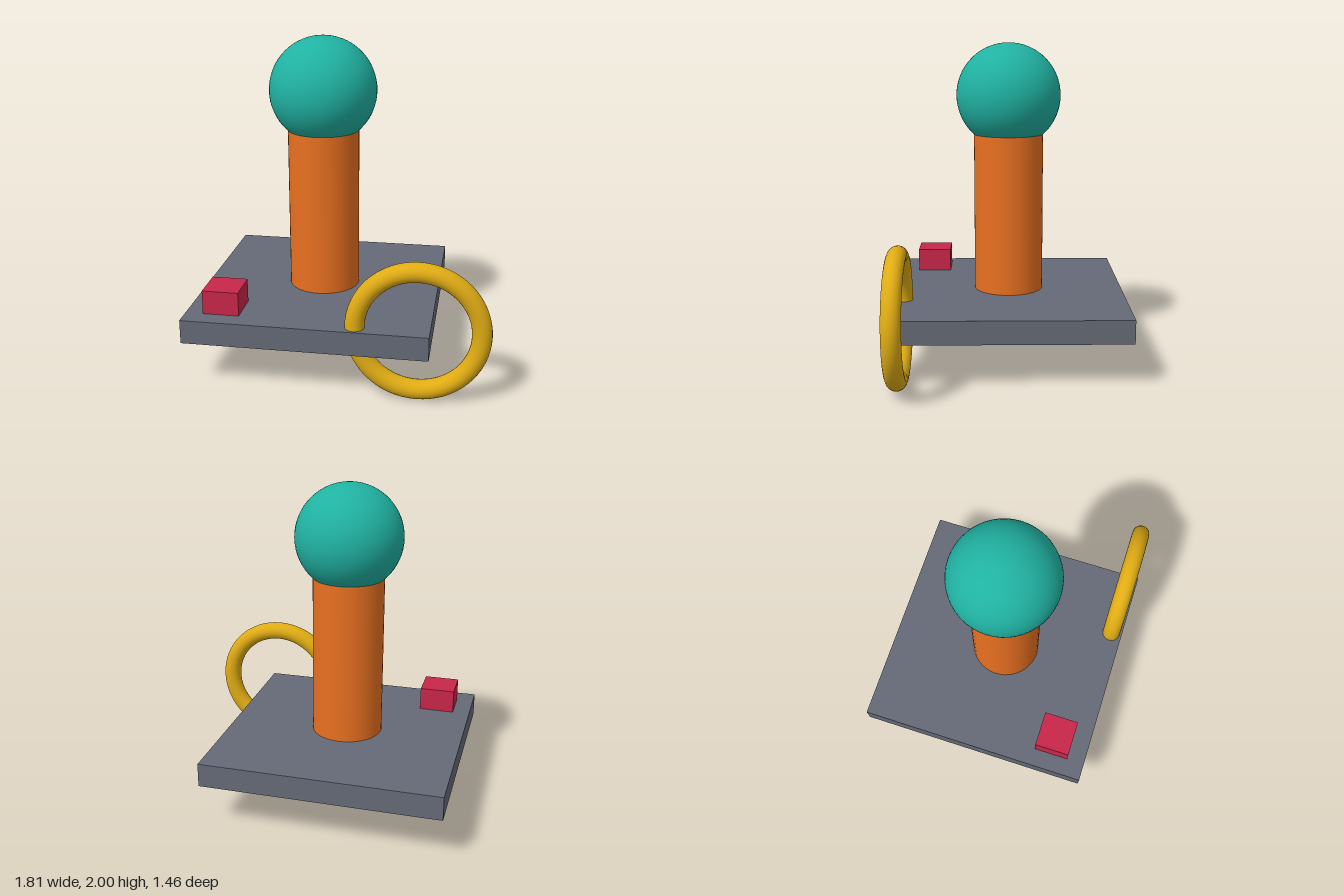
import * as THREE from 'three';

export function createModel() {
  const model = new THREE.Group();
  model.name = 'model';

  const add = (name, geometry, color, x, y, z) => {
    const mesh = new THREE.Mesh(geometry, new THREE.MeshStandardMaterial({ color }));
    mesh.name = name;
    mesh.position.set(x, y, z);
    model.add(mesh);
  };

  const axisX = -0.177; // shared centre of plate, column and ball
  const plateTop = 0.427;

  // Square base plate
  add('basePlate', new THREE.BoxGeometry(1.46, 0.146, 1.46), 0x646a76, axisX, plateTop - 0.073, 0);

  // Column, its top sunk into the ball
  const columnHeight = 1.022;
  add('column', new THREE.CylinderGeometry(0.219, 0.219, columnHeight, 48), 0xe87020, axisX, plateTop + columnHeight / 2, 0);

  // Ball on top
  add('ball', new THREE.SphereGeometry(0.328, 48, 32), 0x20b2a2, axisX, 1.672, 0);

  // Small block on the front corner
  add('block', new THREE.BoxGeometry(0.219, 0.146, 0.219), 0xc8264a, -0.69, plateTop + 0.073, 0.508);

  // Upright ring passing through the plate
  add('ring', new THREE.TorusGeometry(0.365, 0.058, 24, 64), 0xe0ac14, 0.482, 0.426, 0.657);

  return model;
}
